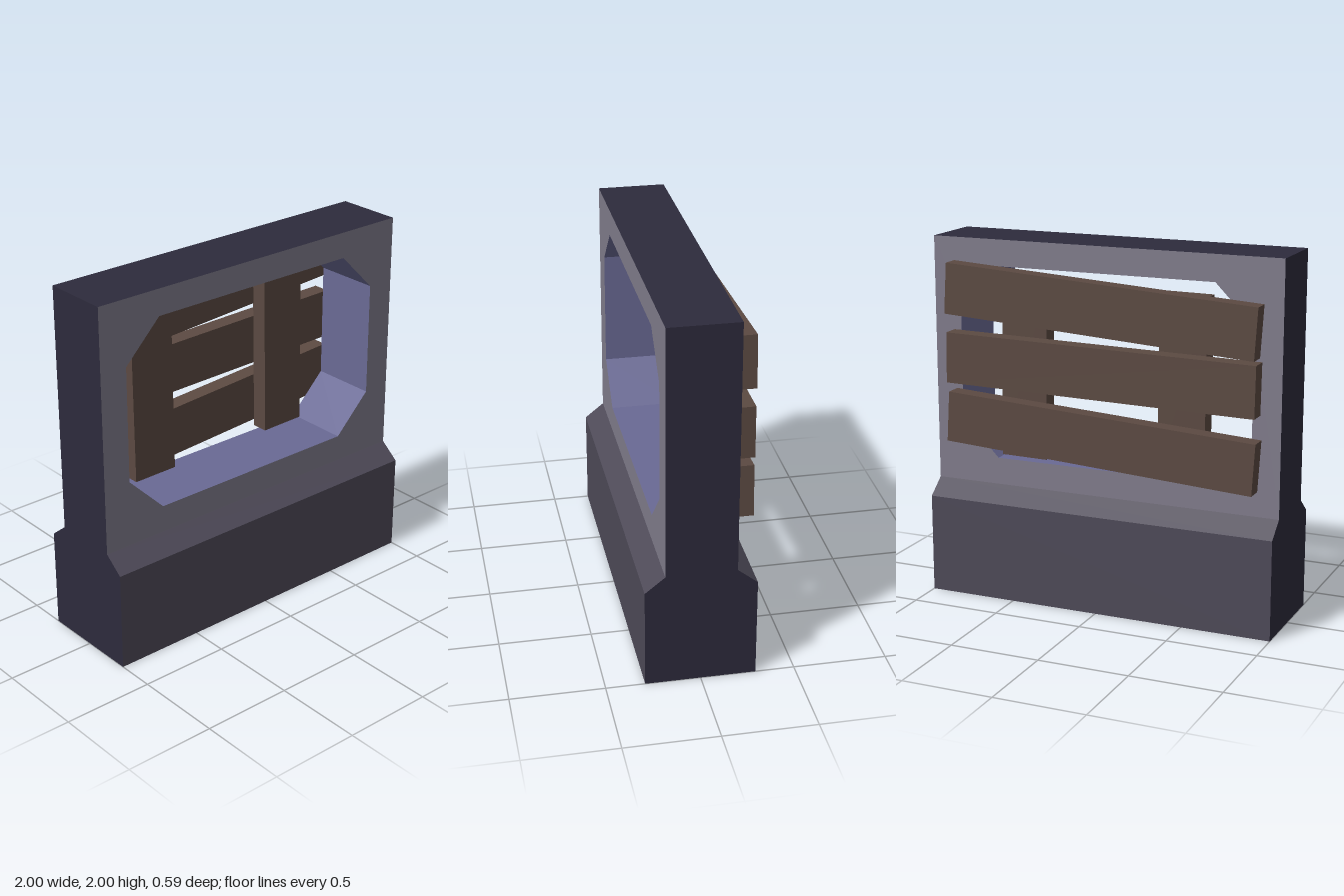
import * as THREE from 'three';

const paint = (color) => new THREE.MeshStandardMaterial({ color, flatShading: true, side: THREE.DoubleSide });

// Flat quads spanning two matching rows of points
function ruled(a, b) {
  const pos = [];
  for (let i = 0; i < a.length - 1; i++) {
    for (const p of [a[i], a[i + 1], b[i + 1], a[i], b[i + 1], b[i]]) pos.push(...p);
  }
  const geo = new THREE.BufferGeometry();
  geo.setAttribute('position', new THREE.Float32BufferAttribute(pos, 3));
  geo.computeVertexNormals();
  return geo;
}

export function createModel() {
  const model = new THREE.Group();
  model.name = 'boardedWindowWall';

  const wallPaint = paint(0x807c8b);
  const basePaint = paint(0x4e4a58);
  const edgePaint = paint(0x2d2b3c);
  const revealPaint = paint(0x6a6a95);
  const wood = paint(0x5c4a42);

  const add = (name, geo, mat) => {
    const mesh = new THREE.Mesh(geo, mat);
    mesh.name = name;
    model.add(mesh);
    return mesh;
  };

  const T = 0.187, B = 0.293;          // half depth of wall and of base
  const yBase = 0.55, yWall = 0.635, yTop = 2;

  // Strip running the full width, following [y, z] points
  const across = (pts) => ruled(pts.map(([y, z]) => [1, y, z]), pts.map(([y, z]) => [-1, y, z]));

  // Base with sloped shoulders, open underneath
  add('baseFront', across([[0, B], [yBase, B], [yWall, T]]), basePaint);
  add('baseBack', across([[yWall, -T], [yBase, -B], [0, -B]]), basePaint);
  add('wallTop', across([[yTop, T], [yTop, -T]]), edgePaint);

  // Ends of the wall
  const profile = new THREE.Shape([
    [-B, 0], [B, 0], [B, yBase], [T, yWall], [T, yTop], [-T, yTop], [-T, yWall], [-B, yBase],
  ].map(([z, y]) => new THREE.Vector2(z, y)));
  for (const s of [1, -1]) {
    const end = add(s > 0 ? 'leftEnd' : 'rightEnd', new THREE.ShapeGeometry(profile), edgePaint);
    end.rotation.y = s * Math.PI / 2;
    end.position.x = s;
  }

  // Wall faces with an eight-sided opening
  const opening = [
    [-0.63, 0.785], [0.63, 0.785], [0.843, 1.0], [0.843, 1.64],
    [0.63, 1.855], [-0.63, 1.855], [-0.843, 1.64], [-0.843, 1.0],
  ];
  const face = new THREE.Shape([[-1, yWall], [1, yWall], [1, yTop], [-1, yTop]]
    .map(([x, y]) => new THREE.Vector2(x, y)));
  face.holes.push(new THREE.Path(opening.map(([x, y]) => new THREE.Vector2(x, y))));
  add('wallFront', new THREE.ShapeGeometry(face), wallPaint).position.z = T;
  const back = add('wallBack', new THREE.ShapeGeometry(face), wallPaint);
  back.rotation.y = Math.PI;
  back.position.z = -T;

  // Lining of the opening
  const loop = [...opening, opening[0]];
  add('openingLining', ruled(loop.map(([x, y]) => [x, y, T]), loop.map(([x, y]) => [x, y, -T])), revealPaint);

  // Crooked boards nailed across the back: [centre y, slope]
  [[1.678, 0.0625], [1.337, 0.016], [0.967, 0.061]].forEach(([y, slope], i) => {
    const board = add(`crossBoard${i + 1}`, new THREE.BoxGeometry(1.775, 0.28, 0.095), wood);
    board.position.set(-0.003, y, -0.242);
    board.rotation.z = Math.atan(slope);
  });

  // Upright battens inside the opening: [centre x, centre y, length, tilt]
  [[-0.457, 1.286, 0.98, 0.009], [0.459, 1.293, 0.965, 0.014]].forEach(([x, y, len, tilt], i) => {
    const batten = add(`uprightBatten${i + 1}`, new THREE.BoxGeometry(0.265, len, 0.095), wood);
    batten.position.set(x, y, -0.148);
    batten.rotation.z = tilt;
  });

  return model;
}
